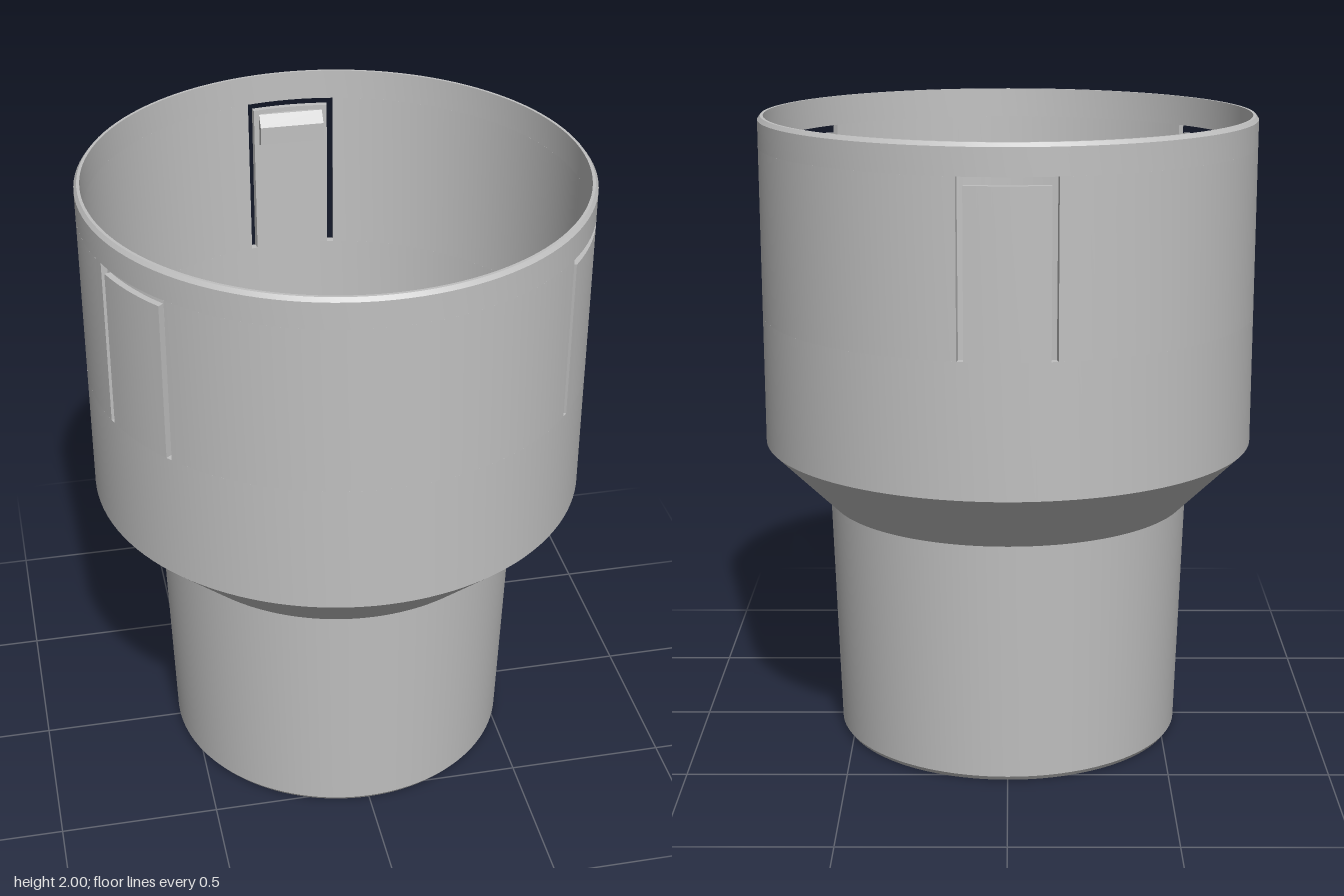
import * as THREE from 'three';
import { mergeGeometries, toCreasedNormals } from 'three/addons/utils/BufferGeometryUtils.js';

const OUTER = 0.775;
const TURN = Math.PI * 2;
const SLOT_BOTTOM = 1.38, TONGUE_TOP = 1.88, SLOT_TOP = 1.905;

// Slightly drafted inner wall of the upper cup
const innerRadius = (y) => 0.745 + 0.012 * (y - 0.97) / 1.03;

const toVectors = (points) => points.map(([r, y]) => new THREE.Vector2(r, y));

// Closed profile (radius, height) swept around y, with end caps for partial sweeps
function sweep(points, start = 0, length = TURN) {
  const profile = toVectors(points);
  const segments = Math.max(6, Math.round(120 * length / TURN));
  const lathe = new THREE.LatheGeometry([...profile, profile[0].clone()], segments, start, length);
  const parts = [toCreasedNormals(lathe, 0.3)];
  if (length < TURN) {
    [start, start + length].forEach((angle, i) => {
      const cap = new THREE.ShapeGeometry(new THREE.Shape(profile));
      if (i === 1) {
        cap.setIndex([...cap.index.array].reverse());
        cap.attributes.normal.array.forEach((v, k, a) => { a[k] = -v; });
      }
      cap.rotateY(angle - Math.PI / 2);
      parts.push(cap.toNonIndexed());
    });
  }
  return mergeGeometries(parts);
}

// Rectangular wall section between two heights
const wall = (y0, y1) => [[innerRadius(y0), y0], [OUTER, y0], [OUTER, y1], [innerRadius(y1), y1]];

export function createModel() {
  const model = new THREE.Group();
  model.name = 'steppedAdapter';
  const grey = new THREE.MeshStandardMaterial({ color: 0xc0c0c0 });
  grey.name = 'grey plastic';

  const add = (name, geometry) => {
    const mesh = new THREE.Mesh(geometry, grey);
    mesh.name = name;
    model.add(mesh);
  };

  // Tapered spigot, cone, pierced floor and lower cup wall
  add('body', sweep([
    [0.065, 0.4], [0.515, 0.4], [0.503, 0.01], [0.51, 0], [0.538, 0], [0.549, 0.015],
    [0.573, 0.77], [OUTER, 0.97], [OUTER, SLOT_BOTTOM],
    [innerRadius(SLOT_BOTTOM), SLOT_BOTTOM], [0.745, 0.97], [0.065, 0.97],
  ]));

  // Rim ring above the slots, chamfered on its outer edge
  add('rim', sweep([
    [innerRadius(SLOT_TOP), SLOT_TOP], [OUTER, SLOT_TOP], [OUTER, 1.988],
    [0.766, 2], [innerRadius(2), 2],
  ]));

  const slotAngle = Math.asin(0.145 / OUTER);
  const tongueAngle = Math.asin(0.125 / OUTER);

  // Catch profile with a sloped lead-in
  const catchShape = new THREE.Shape(toVectors([
    [0.76, 1.75], [0.715, 1.77], [0.715, 1.83], [0.745, 1.865], [0.76, 1.865],
  ]));

  for (let i = 0; i < 3; i++) {
    const angle = Math.PI / 3 + i * TURN / 3;

    // Wall panel reaching from one slot to the next
    add('wallPanel', sweep(wall(SLOT_BOTTOM, SLOT_TOP), angle + slotAngle, TURN / 3 - 2 * slotAngle));

    // Spring tongue freed by the slots
    add('springTongue', sweep(wall(SLOT_BOTTOM, TONGUE_TOP), angle - tongueAngle, 2 * tongueAngle));

    // Catch on the inside of the tongue
    const hook = new THREE.ExtrudeGeometry(catchShape, { depth: 0.21, bevelEnabled: false });
    hook.translate(0, 0, -0.105).rotateY(angle - Math.PI / 2);
    add('tongueCatch', hook);
  }

  return model;
}
